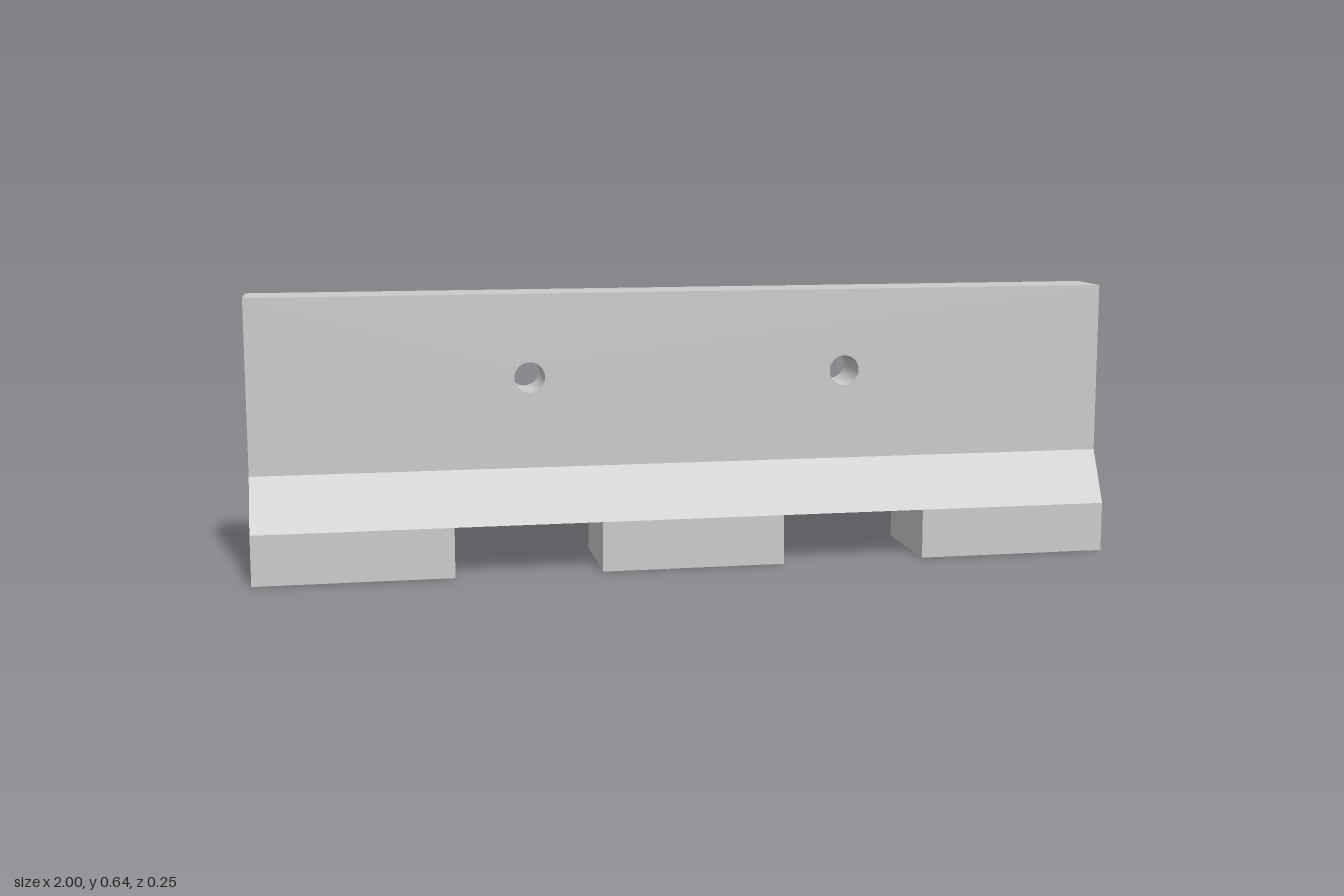
import * as THREE from 'three';

const TOP = 0.636, WAIST = 0.237, FOOT = 0.116; // heights of the section breaks
const THIN = 0.065, WIDE = 0.126;               // half thicknesses
const FEET = [[-1, -0.55], [-0.213, 0.213], [0.55, 1]];

// Drops the horizontal faces at the given heights, where parts join
function openAt(geometry, ...heights) {
  const geo = geometry.index ? geometry.toNonIndexed() : geometry;
  const p = geo.attributes.position;
  const kept = [];
  for (let i = 0; i < p.count; i += 3) {
    const joined = heights.some(h => [0, 1, 2].every(k => Math.abs(p.getY(i + k) - h) < 1e-5));
    if (!joined) kept.push(i, i + 1, i + 2);
  }
  geo.clearGroups();
  geo.setIndex(kept);
  return geo;
}

function polygon(points) {
  return new THREE.Shape(points.map(([x, y]) => new THREE.Vector2(x, y)));
}

export function createModel() {
  const group = new THREE.Group();
  const material = new THREE.MeshStandardMaterial({ color: 0xcccccc });
  const add = (name, geometry) => {
    const mesh = new THREE.Mesh(geometry, material);
    mesh.name = name;
    group.add(mesh);
    return mesh;
  };

  // Upright wall with two round through holes
  const face = polygon([[-1, WAIST], [1, WAIST], [1, TOP], [-1, TOP]]);
  for (const x of [-0.37, 0.37]) {
    face.holes.push(new THREE.Path().absarc(x, 0.445, 0.035, 0, Math.PI * 2, true));
  }
  const wall = new THREE.ExtrudeGeometry(face, { depth: THIN * 2, bevelEnabled: false, curveSegments: 32 });
  wall.translate(0, 0, -THIN);
  add('wall', openAt(wall, WAIST));

  // Sloped flare between wall and feet, extruded along x
  const section = polygon([[-WIDE, FOOT], [WIDE, FOOT], [THIN, WAIST], [-THIN, WAIST]]);
  const flare = new THREE.ExtrudeGeometry(section, { depth: 2, bevelEnabled: false });
  flare.translate(0, 0, -1).rotateY(Math.PI / 2);
  add('flare', openAt(flare, WAIST, FOOT));

  // Three block feet
  FEET.forEach(([a, b], i) => {
    const foot = new THREE.BoxGeometry(b - a, FOOT, WIDE * 2);
    foot.translate((a + b) / 2, FOOT / 2, 0);
    add(['rightFoot', 'middleFoot', 'leftFoot'][i], openAt(foot, FOOT));
  });

  // Undersides of the two openings between the feet
  for (let i = 0; i < 2; i++) {
    const a = FEET[i][1], b = FEET[i + 1][0];
    const ceiling = new THREE.PlaneGeometry(b - a, WIDE * 2);
    ceiling.rotateX(Math.PI / 2).translate((a + b) / 2, FOOT, 0);
    add(['rightOpeningTop', 'leftOpeningTop'][i], ceiling);
  }

  return group;
}
